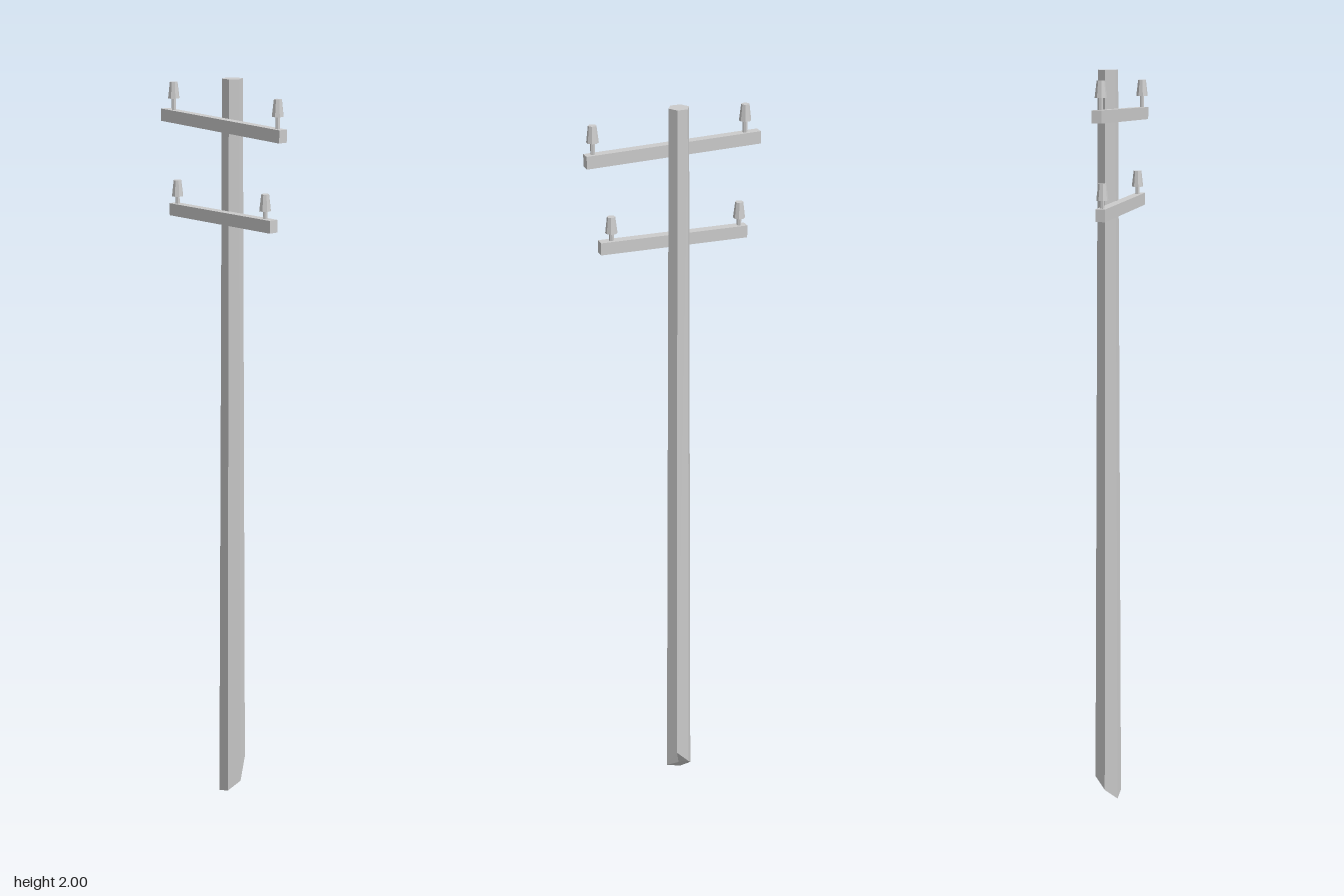
import * as THREE from 'three';

const material = new THREE.MeshStandardMaterial({ color: 0xcccccc, flatShading: true });

function addMesh(parent, geometry, name, x = 0, y = 0, z = 0) {
  const mesh = new THREE.Mesh(geometry, material);
  mesh.name = name;
  mesh.position.set(x, y, z);
  parent.add(mesh);
  return mesh;
}

// Six-sided tapering pole whose foot is cut off at a slant
function makePole() {
  const geometry = new THREE.CylinderGeometry(0.027, 0.037, 2, 6, 1, false, Math.PI / 6);
  geometry.translate(0, 1, 0);
  const footHeights = [0.04, 0.012, 0, 0.03, 0.06, 0.1];
  const pos = geometry.attributes.position;
  for (let i = 0; i < pos.count; i++) {
    if (pos.getY(i) > 1) continue;
    const x = pos.getX(i), z = pos.getZ(i);
    const corner = (Math.round(Math.atan2(z, x) / (Math.PI / 3)) + 6) % 6;
    pos.setY(i, Math.hypot(x, z) < 0.001 ? 0.04 : footHeights[corner]);
  }
  geometry.computeVertexNormals();
  return geometry;
}

// Bell-shaped insulator on a thin pin, standing on y = 0
function makeInsulator(pinHeight) {
  const group = new THREE.Group();
  group.name = 'insulator';
  const pin = pinHeight + 0.01;
  addMesh(group, new THREE.CylinderGeometry(0.006, 0.006, pin, 6), 'insulatorPin', 0, pin / 2, 0);
  const cup = 0.042;
  addMesh(group, new THREE.CylinderGeometry(0.0105, 0.0155, cup, 8, 1, false, Math.PI / 8),
    'insulatorCup', 0, pinHeight + cup / 2, 0);
  return group;
}

// Slightly tilted crossarm carrying its insulators
function makeCrossarm({ name, length, y, tilt, pinHeight, insulators }) {
  const group = new THREE.Group();
  group.name = name;
  const height = 0.032;
  addMesh(group, new THREE.BoxGeometry(length, height, 0.025), 'crossarmBeam');
  for (const x of insulators) {
    const insulator = makeInsulator(pinHeight);
    insulator.position.set(x, height / 2, 0);
    insulator.rotation.z = -tilt;
    group.add(insulator);
  }
  group.position.set(0, y, 0.025);
  group.rotation.z = tilt;
  return group;
}

export function createModel() {
  const model = new THREE.Group();
  model.name = 'utilityPole';
  addMesh(model, makePole(), 'pole', 0, 0, -0.0105);

  model.add(makeCrossarm({
    name: 'upperCrossarm', length: 0.465, y: 1.886, tilt: -0.023,
    pinHeight: 0.03, insulators: [-0.194, 0.212],
  }));
  model.add(makeCrossarm({
    name: 'lowerCrossarm', length: 0.4, y: 1.65, tilt: 0.019,
    pinHeight: 0.02, insulators: [-0.181, 0.168],
  }));
  return model;
}
